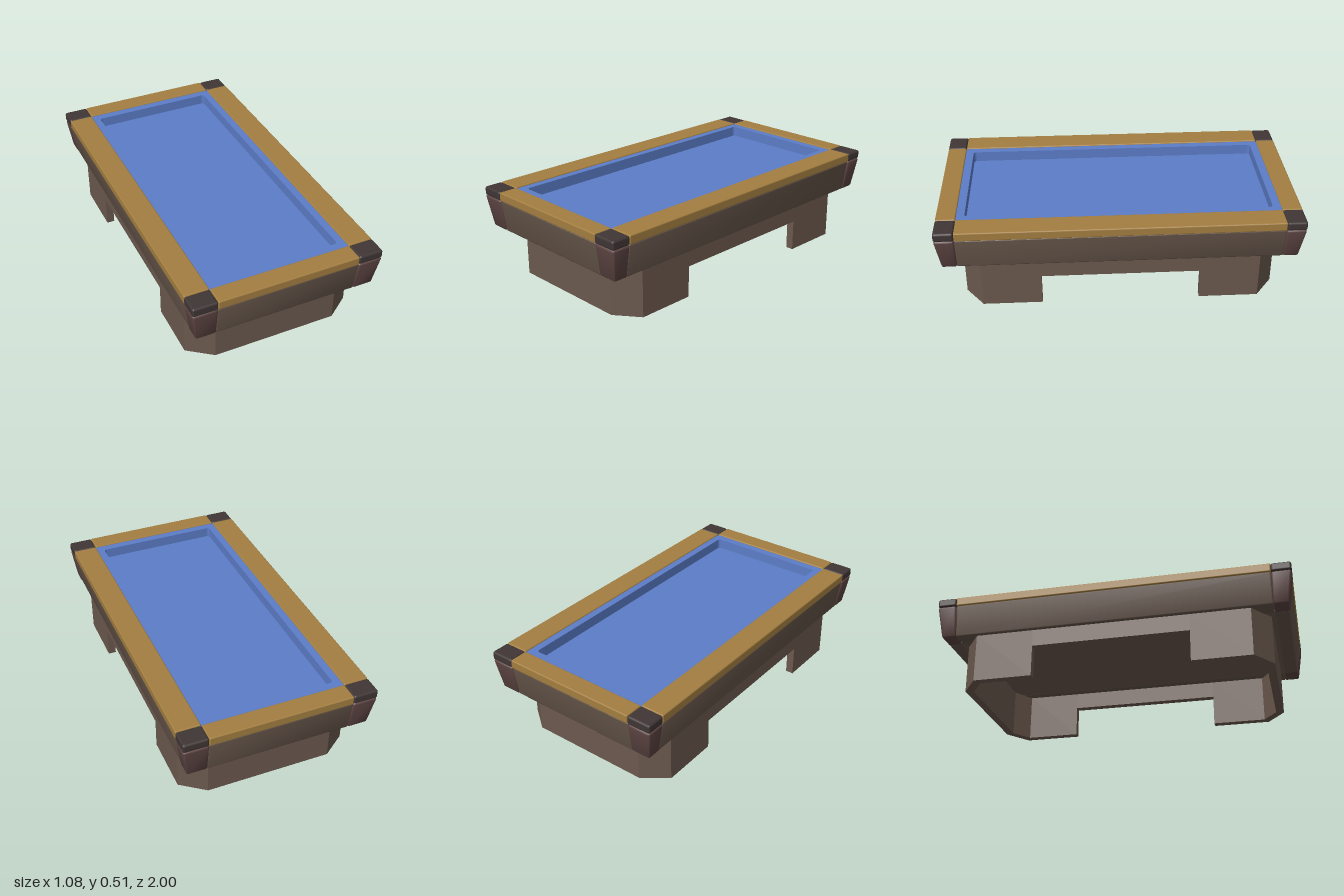
import * as THREE from 'three';
import { RoundedBoxGeometry } from 'three/addons/geometries/RoundedBoxGeometry.js';
import { toCreasedNormals } from 'three/addons/utils/BufferGeometryUtils.js';

const paint = (color) => new THREE.MeshStandardMaterial({ color });
const WOOD = paint(0x6b594e), PANEL = paint(0x635348), CORNER = paint(0x5c4442);
const RAIL = paint(0xa37e40), CAP = paint(0x3f3635), CLOTH = paint(0x5c7dc8);

// Half sizes: outer edge of the table and inner edge of the wooden rails
const OX = 0.54, OZ = 1, IX = 0.4, IZ = 0.89;
const APRON_Y = [0.275, 0.457], RAIL_Y = [0.457, 0.507];

export function createModel() {
  const table = new THREE.Group();
  table.name = 'poolTable';

  const add = (name, geometry, material) => {
    const mesh = new THREE.Mesh(geometry, material);
    mesh.name = name;
    table.add(mesh);
    return mesh;
  };

  // Box between limits, with softened edges when a radius is given
  const block = ([x0, x1], [y0, y1], [z0, z1], radius = 0) => {
    const size = [x1 - x0, y1 - y0, z1 - z0];
    const geo = radius ? new RoundedBoxGeometry(...size, 2, radius) : new THREE.BoxGeometry(...size);
    return geo.translate((x0 + x1) / 2, (y0 + y1) / 2, (z0 + z1) / 2);
  };

  // Lean the outer faces inward toward the bottom of the apron
  const taper = (geo) => {
    const p = geo.attributes.position;
    const clamp = THREE.MathUtils.clamp;
    for (let i = 0; i < p.count; i++) {
      const x = p.getX(i), z = p.getZ(i);
      const lean = 0.028 * (APRON_Y[1] - p.getY(i)) / (APRON_Y[1] - APRON_Y[0]);
      p.setX(i, x - Math.sign(x) * lean * clamp((Math.abs(x) - IX) / (OX - IX), 0, 1));
      p.setZ(i, z - Math.sign(z) * lean * clamp((Math.abs(z) - IZ) / (OZ - IZ), 0, 1));
    }
    return toCreasedNormals(geo, 0.6);
  };

  const span = (s, a, b) => (s > 0 ? [a, b] : [-b, -a]);

  // Rails and apron panels, in mirrored pairs
  for (const s of [1, -1]) {
    const side = s > 0 ? 'left' : 'right', end = s > 0 ? 'front' : 'back';
    add(side + 'Rail', block(span(s, IX, OX - 0.001), RAIL_Y, [-IZ, IZ], 0.007), RAIL);
    add(end + 'Rail', block([-IX, IX], RAIL_Y, span(s, IZ, OZ - 0.001), 0.007), RAIL);
    add(side + 'Apron', taper(block(span(s, IX, OX - 0.005), APRON_Y, [-IZ, IZ], 0.007)), PANEL);
    add(end + 'Apron', taper(block([-IX, IX], APRON_Y, span(s, IZ, OZ - 0.005), 0.007)), PANEL);

    // Corner caps and the tapered blocks under them
    for (const t of [1, -1]) {
      const xs = span(t, IX, OX), zs = span(s, IZ, OZ);
      const corner = end + (t > 0 ? 'Left' : 'Right');
      add(corner + 'Cap', block(xs, RAIL_Y, zs, 0.012), CAP);
      add(corner + 'Block', taper(block(xs, APRON_Y, zs, 0.012)), CORNER);
    }
  }

  // Table body and the cloth-covered bed
  add('body', block([-0.42, 0.42], [0.278, 0.42], [-0.91, 0.91]), WOOD);
  add('bed', block([-IX, IX], [0.42, 0.44], [-IZ, IZ]), CLOTH);

  // Cushion frame with a rounded opening
  const frame = new THREE.Shape();
  frame.moveTo(-IX, -IZ).lineTo(IX, -IZ).lineTo(IX, IZ).lineTo(-IX, IZ).closePath();
  const hx = 0.358, hz = 0.845, r = 0.018;
  const hole = new THREE.Path();
  hole.absarc(hx - r, hz - r, r, 0, Math.PI / 2);
  hole.absarc(-hx + r, hz - r, r, Math.PI / 2, Math.PI);
  hole.absarc(-hx + r, -hz + r, r, Math.PI, Math.PI * 1.5);
  hole.absarc(hx - r, -hz + r, r, Math.PI * 1.5, Math.PI * 2);
  hole.closePath();
  frame.holes.push(hole);
  const cushion = new THREE.ExtrudeGeometry(frame, { depth: 0.06, bevelEnabled: false, curveSegments: 5 });
  add('cushion', cushion.rotateX(-Math.PI / 2).translate(0, 0.44, 0), CLOTH);

  // Hollow base: a chamfered U-shaped foot at each end
  const half = [[0.49, 0.44], [0.49, 0.77], [0.355, 0.87]];
  const inner = [[0.34, 0.825], [0.445, 0.748], [0.445, 0.44]];
  const mirror = (pts) => pts.map(([x, z]) => [-x, z]).reverse();
  const outline = [...half, ...mirror(half), ...mirror(inner), ...inner];
  const footShape = new THREE.Shape(outline.map(([x, z]) => new THREE.Vector2(x, z)));
  const foot = new THREE.ExtrudeGeometry(footShape, { depth: 0.28, bevelEnabled: false });
  foot.rotateX(-Math.PI / 2);
  add('backFoot', foot, WOOD);
  add('frontFoot', foot, WOOD).rotation.y = Math.PI;

  // Side beams bridging the two feet
  for (const s of [1, -1]) {
    add((s > 0 ? 'left' : 'right') + 'Beam', block(span(s, 0.445, 0.49), [0.178, 0.28], [-0.44, 0.44]), WOOD);
  }

  return table;
}
